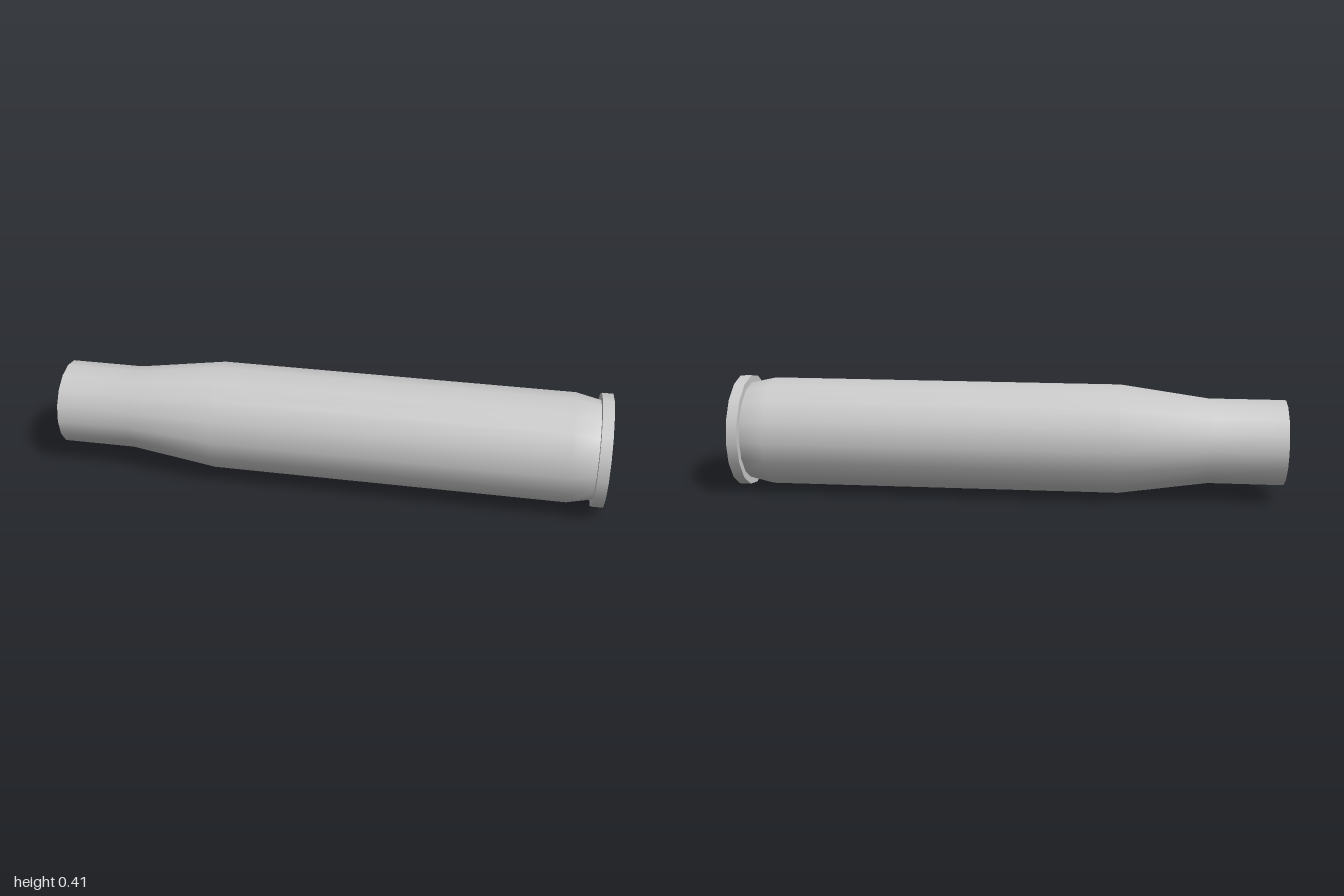
import * as THREE from 'three';

const RADIUS = 0.206;
const SIDES = 16;

export function createModel() {
  const group = new THREE.Group();
  group.name = 'cartridgeCase';
  const material = new THREE.MeshStandardMaterial({ color: 0xcccccc, side: THREE.DoubleSide });

  // Revolves [x, radius] points around the long x axis; separate pieces keep edges sharp
  const turned = (name, profile) => {
    const points = profile.map(([x, r]) => new THREE.Vector2(r, x));
    const geometry = new THREE.LatheGeometry(points, SIDES);
    geometry.rotateZ(-Math.PI / 2);
    geometry.translate(0, RADIUS, 0);
    const mesh = new THREE.Mesh(geometry, material);
    mesh.name = name;
    group.add(mesh);
  };

  // Thin open tube: mouth, neck, shoulder, body, extractor taper
  turned('caseWall', [[-1, 0.155], [-0.73, 0.155], [-0.41, 0.2], [0.87, 0.2], [0.96, 0.18]]);

  // Rim around the base
  turned('rimBack', [[0.96, 0.18], [0.96, RADIUS]]);
  turned('rimEdge', [[0.96, RADIUS], [1, RADIUS]]);
  turned('baseFace', [[1, RADIUS], [1, 0.07]]);

  // Recessed primer pocket
  turned('primerPocketWall', [[1, 0.07], [0.96, 0.07]]);
  turned('primerPocketFloor', [[0.96, 0.07], [0.96, 0]]);

  return group;
}
